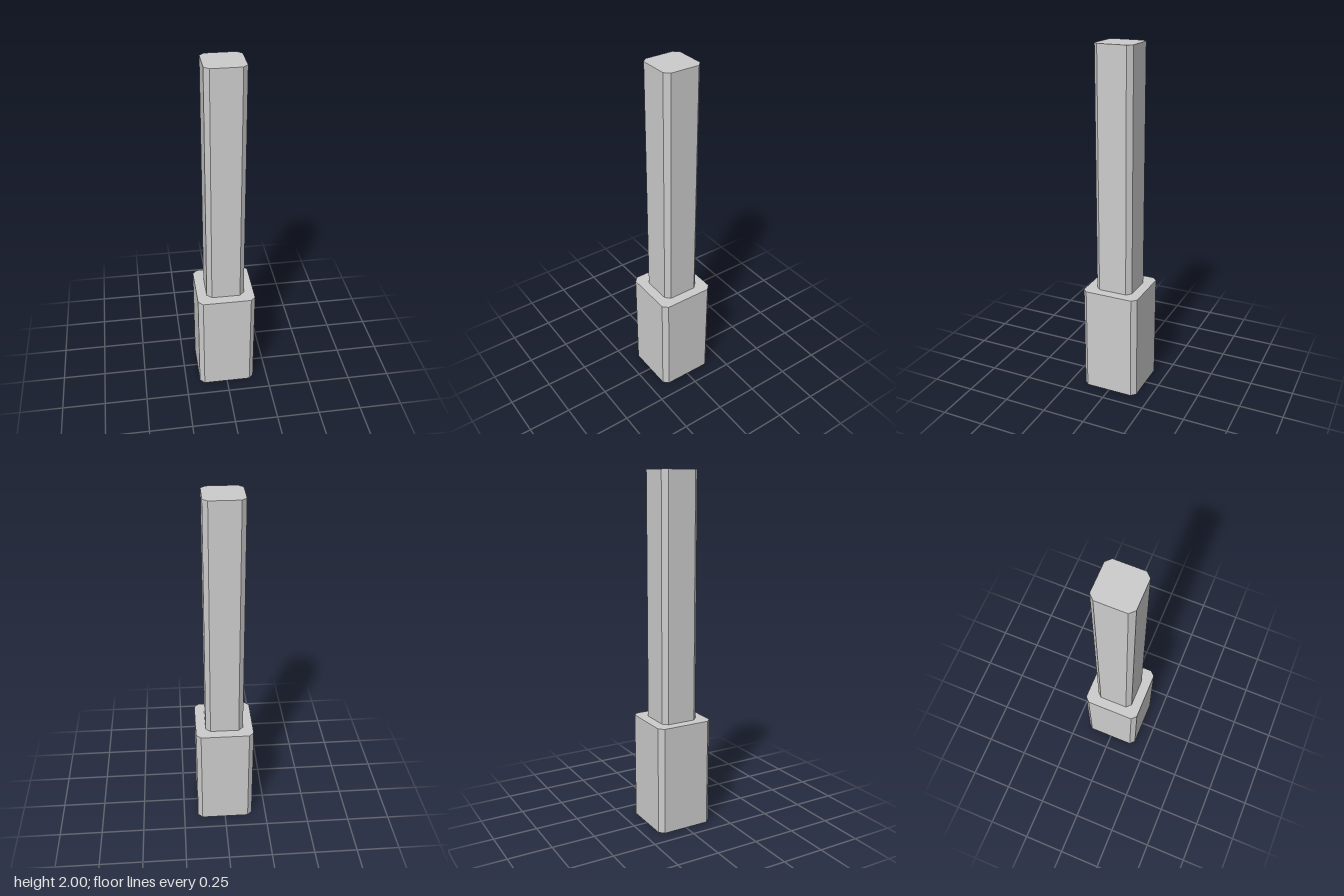
import * as THREE from 'three';

const CHAMFER = 0.027;

// Upright square prism with chamfered vertical edges
function chamferedPost(name, half, bottom, top, material) {
  const c = half - CHAMFER;
  const outline = new THREE.Shape([
    [half, -c], [half, c], [c, half], [-c, half],
    [-half, c], [-half, -c], [-c, -half], [c, -half],
  ].map(([x, y]) => new THREE.Vector2(x, y)));
  const geometry = new THREE.ExtrudeGeometry(outline, { depth: top - bottom, bevelEnabled: false });
  geometry.rotateX(-Math.PI / 2);
  const mesh = new THREE.Mesh(geometry, material);
  mesh.name = name;
  mesh.position.y = bottom;
  return mesh;
}

export function createModel() {
  const group = new THREE.Group();
  group.name = 'post';
  const material = new THREE.MeshStandardMaterial({ color: 0xcccccc, flatShading: true });

  // Wide base block, then the slim shaft standing on it
  group.add(chamferedPost('base', 0.166, 0, 0.62, material));
  group.add(chamferedPost('shaft', 0.109, 0.62, 2, material));
  return group;
}
